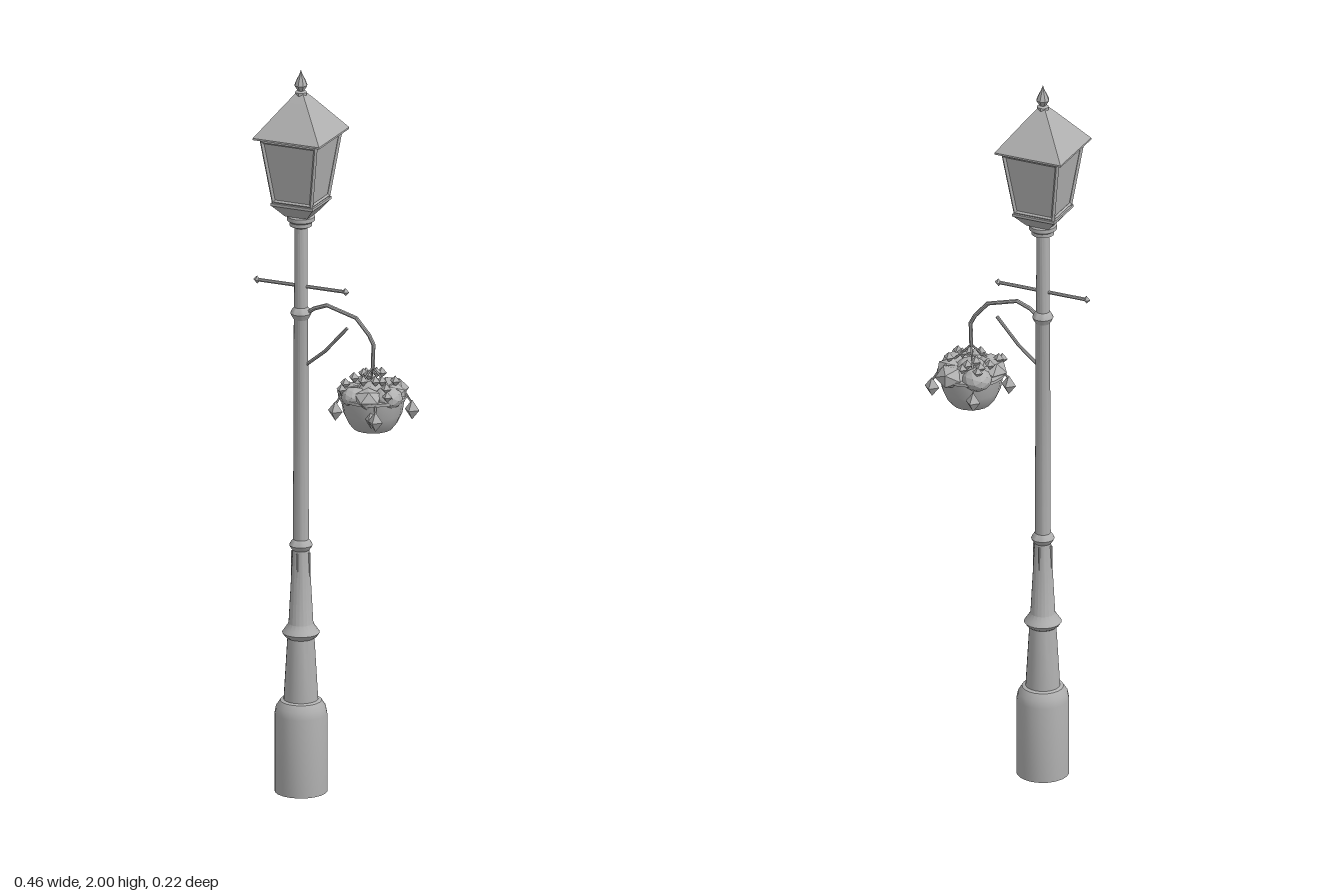
import * as THREE from 'three';
import { toCreasedNormals } from 'three/addons/utils/BufferGeometryUtils.js';

const V = (x, y, z = 0) => new THREE.Vector3(x, y, z);
const POLE_X = -0.09, BASKET_X = 0.118;

export function createModel() {
  const model = new THREE.Group();
  const metal = new THREE.MeshStandardMaterial({ color: 0xb0b0b0, side: THREE.DoubleSide });
  metal.name = 'greyPaint';

  function add(name, geometry, x = 0, y = 0, z = 0, crease = 0.6, parent = model) {
    const mesh = new THREE.Mesh(toCreasedNormals(geometry, crease), metal);
    mesh.name = name;
    mesh.position.set(x, y, z);
    parent.add(mesh);
    return mesh;
  }
  const lathe = (pts, sides = 20) =>
    new THREE.LatheGeometry(pts.map(([r, y]) => new THREE.Vector2(r, y)), sides);
  // square section given by half widths at the bottom and the top
  const square = (bottom, top, h) =>
    new THREE.CylinderGeometry(top * Math.SQRT2, bottom * Math.SQRT2, h, 4).rotateY(Math.PI / 4);
  // straight rods joined end to end
  function rods(name, points, radius, parent = model, sides = 8) {
    for (let i = 0; i < points.length - 1; i++) {
      const dir = points[i + 1].clone().sub(points[i]);
      const mid = points[i].clone().addScaledVector(dir, 0.5);
      const rod = add(name, new THREE.CylinderGeometry(radius, radius, dir.length() + radius * 0.5, sides),
        mid.x, mid.y, mid.z, 0.9, parent);
      rod.quaternion.setFromUnitVectors(V(0, 1), dir.normalize());
    }
  }

  // post, with stepped base and collars
  add('post', lathe([
    [0, 0], [0.07, 0], [0.07, 0.215], [0.066, 0.235], [0.055, 0.252], [0.046, 0.255],
    [0.036, 0.425], [0.043, 0.43], [0.05, 0.44], [0.043, 0.45], [0.033, 0.465],
    [0.022, 0.668], [0.027, 0.674], [0.031, 0.682], [0.027, 0.69], [0.021, 0.698],
    [0.019, 1.308], [0.024, 1.316], [0.028, 1.325], [0.024, 1.334], [0.018, 1.342],
    [0.017, 1.562], [0.03, 1.568], [0.03, 1.578], [0.037, 1.583], [0.037, 1.594],
    [0.03, 1.6], [0, 1.6],
  ]), POLE_X);

  // slim ribs beneath the middle collar
  for (let i = 0; i < 4; i++) {
    const a = i * Math.PI / 2;
    const rib = add('postRib', new THREE.BoxGeometry(0.004, 0.065, 0.006),
      POLE_X + Math.sin(a) * 0.0245, 0.63, Math.cos(a) * 0.0245);
    rib.rotation.y = a;
  }

  // lantern
  const lantern = new THREE.Group();
  lantern.name = 'lantern';
  lantern.position.x = POLE_X;
  model.add(lantern);
  add('lanternFoot', square(0.032, 0.06, 0.034), 0, 1.615, 0, 0.1, lantern);
  add('lanternSill', square(0.061, 0.061, 0.007), 0, 1.635, 0, 0.1, lantern);
  add('lanternPanes', square(0.052, 0.077, 0.18), 0, 1.729, 0, 0.1, lantern);
  const corners = [[1, 1], [1, -1], [-1, -1], [-1, 1]];
  corners.forEach(([sx, sz], i) => {
    const [nx, nz] = corners[(i + 1) % 4];
    rods('lanternBar', [V(sx * 0.054, 1.638, sz * 0.054), V(sx * 0.079, 1.82, sz * 0.079)], 0.0055, lantern, 4);
    for (const [w, y] of [[0.055, 1.643], [0.078, 1.812]])
      rods('lanternRail', [V(sx * w, y, sz * w), V(nx * w, y, nz * w)], 0.0045, lantern, 4);
  });
  add('roofRim', square(0.096, 0.096, 0.005), 0, 1.822, 0, 0.1, lantern);
  add('roof', square(0.096, 0.029, 0.088), 0, 1.8685, 0, 0.1, lantern);
  add('roofPeak', square(0.029, 0.009, 0.025), 0, 1.925, 0, 0.1, lantern);
  add('finial', lathe([
    [0.016, 1.93], [0.016, 1.938], [0.009, 1.942], [0.018, 1.957], [0.012, 1.972], [0.005, 1.985], [0, 2],
  ], 8), 0, 0, 0, 0.3, lantern);

  // ladder bar with pointed ends
  rods('crossBar', [V(-0.215, 1.4), V(0.035, 1.4)], 0.005);
  for (const x of [-0.217, 0.039]) add('barEnd', new THREE.OctahedronGeometry(0.011), x, 1.4, 0, 0.1);

  // hanging bracket and brace
  rods('bracketArm', [V(-0.075, 1.325), V(-0.052, 1.342), V(-0.015, 1.356), V(0.07, 1.332),
    V(0.107, 1.29), V(0.12, 1.265), V(BASKET_X, 1.2)], 0.0055);
  rods('bracketBrace', [V(-0.075, 1.183), V(-0.02, 1.228), V(0.043, 1.299)], 0.0045);

  // basket on three chains
  const basket = new THREE.Group();
  basket.name = 'flowerBasket';
  basket.position.x = BASKET_X;
  model.add(basket);
  for (let i = 0; i < 3; i++) {
    const a = i * Math.PI * 2 / 3;
    rods('chain', [V(0, 1.203), V(Math.cos(a) * 0.075, 1.125, Math.sin(a) * 0.075)], 0.003, basket, 5);
  }
  add('basketBowl', lathe([
    [0, 1.035], [0.052, 1.035], [0.066, 1.052], [0.078, 1.078], [0.085, 1.118], [0.091, 1.12],
    [0.091, 1.128], [0.08, 1.128], [0, 1.128],
  ], 16), 0, 0, 0, 0.6, basket);

  // foliage clumps: x, z, radius
  const clumps = [[0.03, -0.062, 0.043], [-0.04, -0.05, 0.04], [-0.052, 0.02, 0.042], [-0.03, 0.05, 0.036],
    [0.012, 0.055, 0.042], [0.053, 0.02, 0.04], [0.054, -0.02, 0.037], [0, 0, 0.045]];
  clumps.forEach(([x, z, r], i) => {
    const clump = add('foliage', new THREE.IcosahedronGeometry(r, i % 2), x, 1.13, z, 0.1, basket);
    clump.scale.y = 0.75;
    clump.rotation.y = i * 1.3;
  });

  // small blossoms on top: x, z, y
  const blossoms = [[-0.05, -0.068, 1.16], [-0.008, -0.075, 1.165], [-0.014, -0.055, 1.17], [-0.048, -0.046, 1.165],
    [-0.025, -0.026, 1.17], [-0.06, -0.013, 1.162], [0.055, -0.022, 1.165], [0.03, 0.008, 1.17],
    [0.017, 0.022, 1.172], [-0.013, 0.033, 1.172], [-0.063, 0.036, 1.16], [-0.063, 0.06, 1.15],
    [0.055, 0.036, 1.16], [0.067, 0.056, 1.145]];
  for (const [x, z, y] of blossoms)
    add('blossom', new THREE.OctahedronGeometry(0.015), x, y, z, 0.1, basket);

  // larger drooping blossoms round the rim
  const drooping = [[-0.047, -0.09], [0.092, -0.048], [-0.087, 0.047], [0.048, 0.088], [0.028, 0.07]];
  for (const [x, z] of drooping) {
    const flower = add('droopingBlossom', new THREE.OctahedronGeometry(0.021), x, 1.083, z, 0.1, basket);
    flower.scale.y = 1.3;
    rods('stem', [V(x * 0.8, 1.135, z * 0.8), V(x, 1.1, z)], 0.003, basket, 5);
  }
  return model;
}
